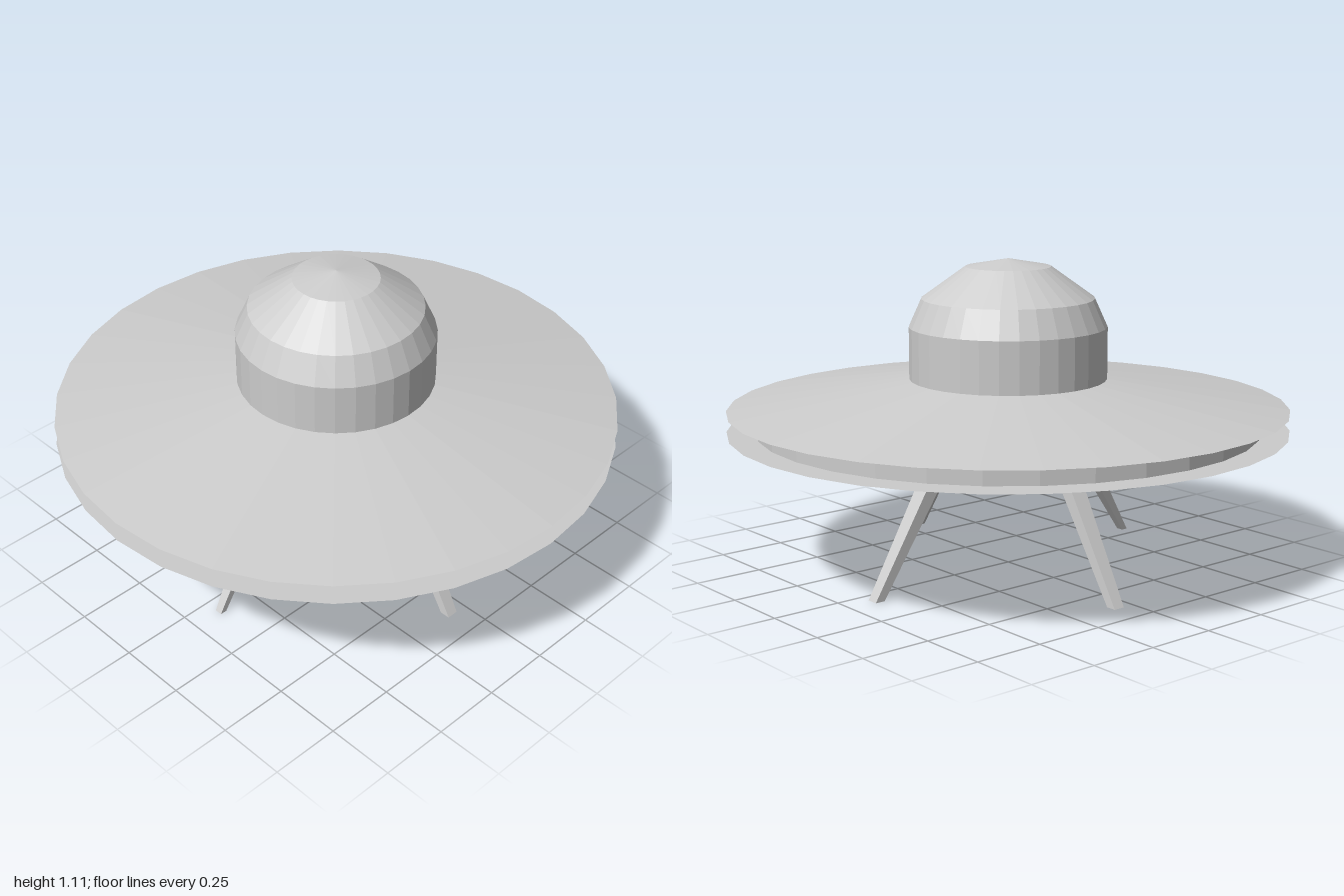
import * as THREE from 'three';

const SIDES = 32;

// Faceted shading baked into the normals
function faceted(geometry) {
  const g = geometry.index ? geometry.toNonIndexed() : geometry;
  g.computeVertexNormals();
  return g;
}

// Turned part from [radius, height] pairs, listed from bottom to top
function turned(points) {
  return faceted(new THREE.LatheGeometry(points.map(([r, y]) => new THREE.Vector2(r, y)), SIDES));
}

// Four-sided strut between two level rectangles, each [x, z, width, depth]
function strut(top, topY, foot) {
  const g = new THREE.BoxGeometry(1, 1, 1);
  const p = g.attributes.position;
  for (let i = 0; i < p.count; i++) {
    const up = p.getY(i) > 0;
    const [x, z, w, d] = up ? top : foot;
    p.setXYZ(i, x + p.getX(i) * w, up ? topY : 0, z + p.getZ(i) * d);
  }
  return faceted(g);
}

export function createModel() {
  const model = new THREE.Group();
  model.name = 'flyingSaucer';
  const grey = new THREE.MeshStandardMaterial({ color: 0xcccccc, side: THREE.DoubleSide });
  grey.name = 'lightGrey';

  const add = (name, geometry) => {
    const mesh = new THREE.Mesh(geometry, grey);
    mesh.name = name;
    model.add(mesh);
  };

  // Saucer body: belly, recessed side band and overhanging upper deck
  add('belly', turned([[0, 0.427], [0.353, 0.427], [0.9, 0.51]]));
  add('sideBand', turned([[0.9, 0.51], [0.9, 0.584]]));
  add('upperDeck', turned([[0.9, 0.584], [1, 0.584], [0.353, 0.686]]));

  // Thin flat flange around the bottom of the side band
  add('lowerFlange', turned([[1, 0.51], [0.9, 0.51]]));

  // Cabin: straight wall and stepped dome
  add('cabinWall', turned([[0.353, 0.686], [0.353, 0.872]]));
  add('dome', turned([[0.353, 0.872], [0.308, 0.972], [0.152, 1.084], [0, 1.112]]));

  // Splayed legs, each set to one side of its axis
  const legs = [
    ['frontLeg', 'z', 1, 0.042],
    ['backLeg', 'z', -1, 0.042],
    ['leftLeg', 'x', 1, 0.042],
    ['rightLeg', 'x', -1, 0.028],
  ];
  for (const [name, axis, s, size] of legs) {
    const place = (along, across, length, width) => axis === 'z'
      ? [-s * across, s * along, width, length]
      : [s * along, -s * across, length, width];
    add(name, strut(place(0.341, 0.034, 0.06, 0.066), 0.43, place(0.635, 0.064, size * 0.88, size)));
  }

  return model;
}
